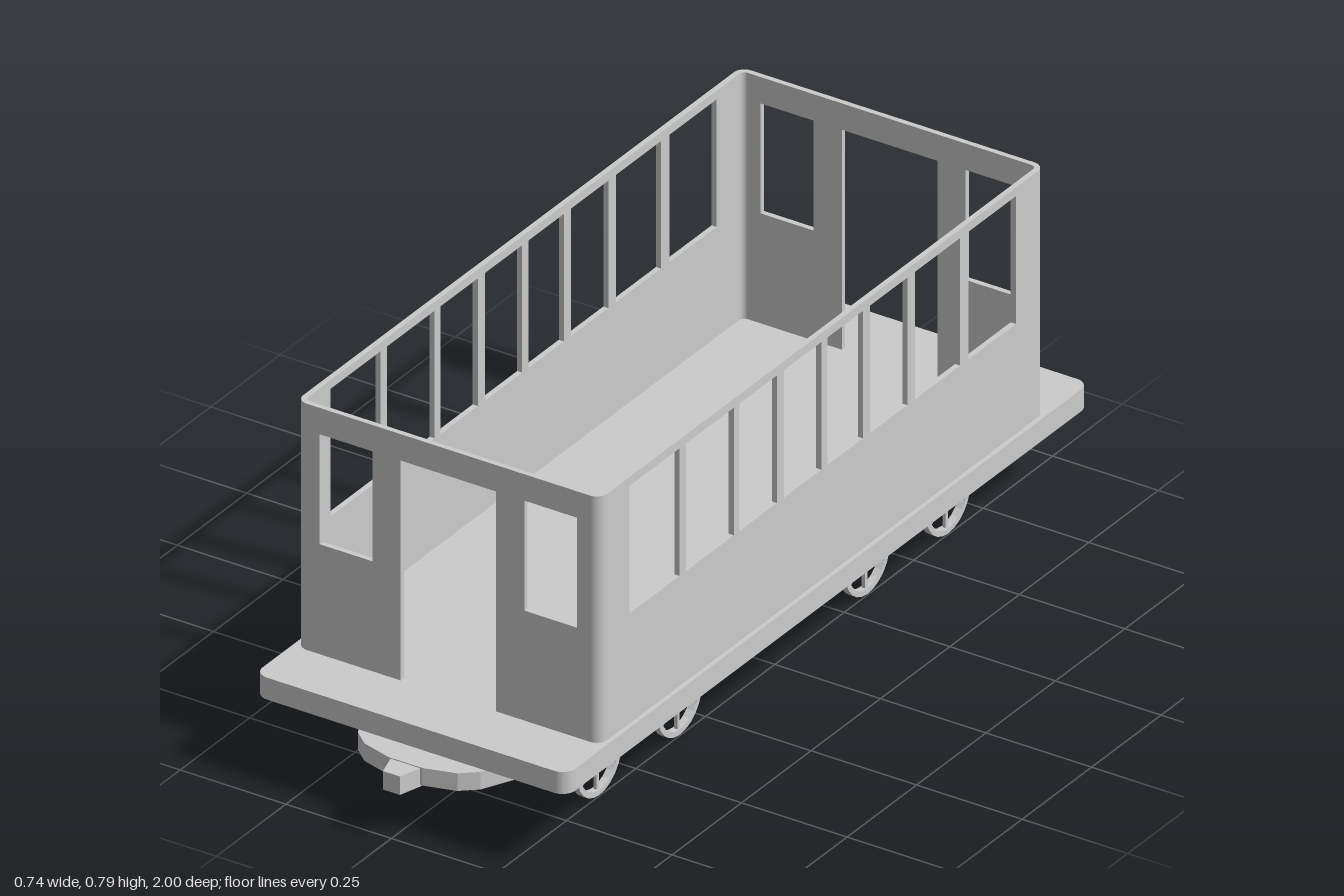
import * as THREE from 'three';

const mat = new THREE.MeshStandardMaterial({ color: 0xcccccc, flatShading: true });

function add(parent, name, geometry, x = 0, y = 0, z = 0) {
  const m = new THREE.Mesh(geometry, mat);
  m.name = name;
  m.position.set(x, y, z);
  parent.add(m);
  return m;
}

const poly = (pts) => new THREE.Shape(pts.map(([x, y]) => new THREE.Vector2(x, y)));
const rect = (x0, x1, y0, y1) => [[x0, y0], [x1, y0], [x1, y1], [x0, y1]];
const extrude = (shape, depth) =>
  new THREE.ExtrudeGeometry(shape, { depth, bevelEnabled: false, curveSegments: 5 });
// Shape drawn in (z, y), thickness centred on x
const sideExtrude = (shape, depth) =>
  extrude(shape, depth).translate(0, 0, -depth / 2).rotateY(-Math.PI / 2);
// Shape drawn in (x, z), top face at y = 0
const flatExtrude = (shape, depth) => extrude(shape, depth).rotateX(Math.PI / 2);

function roundedRect(w, h, r) {
  const s = new THREE.Shape();
  s.absarc(w - r, h - r, r, 0, Math.PI / 2);
  s.absarc(-w + r, h - r, r, Math.PI / 2, Math.PI);
  s.absarc(-w + r, -h + r, r, Math.PI, Math.PI * 1.5);
  s.absarc(w - r, -h + r, r, Math.PI * 1.5, Math.PI * 2);
  s.closePath();
  return s;
}

// Open-topped saloon with window and door openings
function createBody() {
  const g = new THREE.Group();
  g.name = 'body';
  const W = 0.36, L = 0.8, T = 0.012, R = 0.025, Y0 = 0.23, Y1 = 0.79, zc = -0.005;
  const windows = [[0.51, 0.69], [0.315, 0.487], [0.16, 0.294], [0, 0.134],
    [-0.15, -0.022], [-0.31, -0.176], [-0.5, -0.337], [-0.7, -0.53]];
  const side = poly(rect(-L + R + zc, L - R + zc, Y0, Y1));
  windows.forEach(([a, b]) => side.holes.push(poly(rect(a, b, 0.48, 0.77))));
  const end = poly([[-W + R, Y0], [-0.113, Y0], [-0.113, 0.73], [0.113, 0.73], [0.113, Y0],
    [W - R, Y0], [W - R, Y1], [-W + R, Y1]]);
  end.holes.push(poly(rect(0.18, 0.305, 0.48, 0.73)), poly(rect(-0.305, -0.18, 0.48, 0.73)));
  const corner = new THREE.Shape();
  corner.absarc(0, 0, R, 0, Math.PI / 2);
  corner.absarc(0, 0, R - T, Math.PI / 2, 0, true);
  corner.closePath();
  for (const s of [1, -1]) {
    add(g, 'sideWall', sideExtrude(side, T), s * (W - T / 2));
    add(g, 'endWall', extrude(end, T), 0, 0, zc + s * (L - T / 2) - T / 2);
    for (const e of [1, -1]) {
      const c = add(g, 'cornerPost', flatExtrude(corner, Y1 - Y0), s * (W - R), Y1, zc + e * (L - R));
      c.rotation.y = s > 0 ? (e > 0 ? 0 : Math.PI / 2) : (e > 0 ? -Math.PI / 2 : Math.PI);
    }
  }
  return g;
}

// Six-spoked wheel in the YZ plane
function createWheel() {
  const g = new THREE.Group();
  g.name = 'wheel';
  const rim = [[0.068, -0.008], [0.08, -0.008], [0.08, 0.008], [0.068, 0.008], [0.068, -0.008]]
    .map(([r, y]) => new THREE.Vector2(r, y));
  add(g, 'rim', new THREE.LatheGeometry(rim, 24).rotateZ(-Math.PI / 2));
  add(g, 'hub', new THREE.CylinderGeometry(0.017, 0.017, 0.018, 10).rotateZ(Math.PI / 2));
  for (let i = 0; i < 6; i++) {
    const spoke = new THREE.BoxGeometry(0.008, 0.058, 0.008).translate(0, 0.042, 0);
    add(g, 'spoke', spoke.rotateX((i * Math.PI) / 3));
  }
  return g;
}

// Crossbar that bows downwards in the middle
function crossbar(w, top, h, sag, depth) {
  const pts = [];
  const n = 6;
  const drop = (t) => sag * (1 - t * t);
  for (let i = 0; i <= n; i++) {
    const t = (i / n) * 2 - 1;
    pts.push([t * w, top - h - drop(t)]);
  }
  for (let i = n; i >= 0; i--) {
    const t = (i / n) * 2 - 1;
    pts.push([t * w, top - drop(t)]);
  }
  return extrude(poly(pts), depth).translate(0, 0, -depth / 2);
}

// Four-wheeled truck with ring-shaped side frames
function createBogie() {
  const g = new THREE.Group();
  g.name = 'bogie';
  const frame = poly([[-0.28, 0.115], [-0.225, 0.045], [-0.06, 0.045], [-0.04, 0.038], [0.04, 0.038],
    [0.06, 0.045], [0.225, 0.045], [0.28, 0.115], [0.28, 0.145], [0.24, 0.155],
    [-0.24, 0.155], [-0.28, 0.145]]);
  frame.holes.push(poly([[-0.245, 0.113], [-0.21, 0.067], [0.21, 0.067], [0.245, 0.113], [0.22, 0.122],
    [-0.22, 0.122]]));
  for (const s of [1, -1]) {
    add(g, 'sideFrame', sideExtrude(frame, 0.035), s * 0.203);
    for (const u of [0.145, -0.145]) {
      const wheel = createWheel();
      wheel.position.set(s * 0.24, 0.083, u);
      g.add(wheel);
      const stub = new THREE.CylinderGeometry(0.014, 0.014, 0.065, 8).rotateZ(Math.PI / 2);
      add(g, 'axleStub', stub, s * 0.22, 0.083, u);
      add(g, 'axleBox', new THREE.BoxGeometry(0.03, 0.075, 0.03), s * 0.205, 0.09, u);
    }
  }
  for (const s of [1, -1]) {
    add(g, 'endCrossbar', crossbar(0.19, 0.112, 0.028, 0.006, 0.03), 0, 0, s * 0.25);
    add(g, 'middleCrossbar', crossbar(0.19, 0.068, 0.024, 0.011, 0.025), 0, 0, s * 0.06);
    add(g, 'transom', new THREE.BoxGeometry(0.38, 0.04, 0.02), 0, 0.135, s * 0.09);
  }
  return g;
}

export function createModel() {
  const model = new THREE.Group();
  model.name = 'railcar';

  model.add(createBody());
  add(model, 'floor', flatExtrude(roundedRect(0.37, 0.941, 0.03), 0.05), 0, 0.23, -0.01);

  // Slab with clipped corners under the floor
  const slab = poly([[-0.145, -0.81], [0.145, -0.81], [0.2, -0.77], [0.2, 0.77],
    [0.145, 0.81], [-0.145, 0.81], [-0.2, 0.77], [-0.2, -0.77]]);
  add(model, 'underframe', flatExtrude(slab, 0.03), 0, 0.182, 0);

  // Shallow arch joining the two trucks
  const arch = poly([[-0.23, 0.11], [-0.2, 0.11], [-0.13, 0.132], [-0.05, 0.138], [0.05, 0.138],
    [0.13, 0.132], [0.2, 0.11], [0.23, 0.11], [0.23, 0.165], [-0.23, 0.165]]);
  add(model, 'centreArch', sideExtrude(arch, 0.4));

  // Tapered coupler plate, tongue pointing outwards
  const plate = poly([[-0.2, 0.74], [0.2, 0.74], [0.19, 0.81], [0.145, 0.9], [0.11, 0.93],
    [0.04, 0.95], [-0.04, 0.95], [-0.11, 0.93], [-0.145, 0.9], [-0.19, 0.81]]);
  const tongue = poly([[-0.04, 0.92], [0.04, 0.92], [0.035, 0.95], [0.02, 1], [-0.02, 1], [-0.035, 0.95]]);
  for (const s of [1, -1]) {
    const bogie = createBogie();
    bogie.position.z = s * 0.483;
    model.add(bogie);
    const coupler = new THREE.Group();
    coupler.name = 'coupler';
    coupler.rotation.y = s > 0 ? 0 : Math.PI;
    add(coupler, 'couplerPlate', flatExtrude(plate, 0.04), 0, 0.152, 0);
    add(coupler, 'couplerTongue', flatExtrude(tongue, 0.042), 0, 0.15, 0);
    model.add(coupler);
  }
  // Rest the wheels on the ground
  model.position.y = -0.003;
  const root = new THREE.Group();
  root.add(model);
  return root;
}
